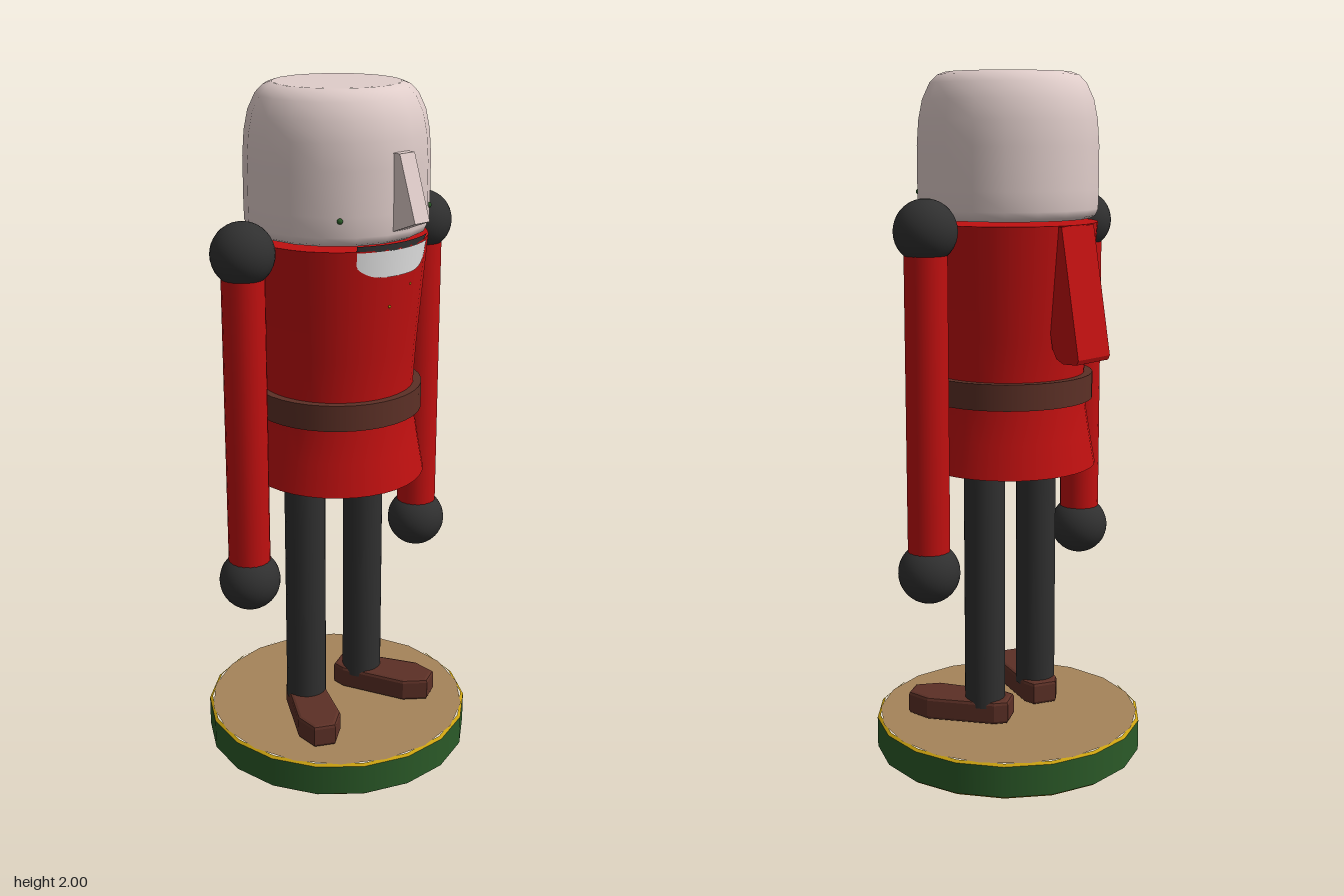
import * as THREE from 'three';

const mat = (name, color, side = THREE.FrontSide) => {
  const m = new THREE.MeshStandardMaterial({ color, side });
  m.name = name;
  return m;
};

export function createModel() {
  const skin = mat('pale skin', 0xe0cdca);
  const red = mat('red', 0xc01010);
  const black = mat('black', 0x303030, THREE.DoubleSide);
  const brown = mat('brown leather', 0x5c3026);
  const green = mat('green', 0x2b5a28);
  const gold = mat('gold', 0xc9a010);
  const wood = mat('tan wood', 0xa5845a);
  const white = mat('white', 0xdcdcdc, THREE.DoubleSide);

  const root = new THREE.Group();
  root.name = 'woodenSoldier';
  const add = (name, geometry, material, x = 0, y = 0, z = 0) => {
    const mesh = new THREE.Mesh(geometry, material);
    mesh.name = name;
    mesh.position.set(x, y, z);
    root.add(mesh);
    return mesh;
  };
  const turn = Math.PI / 18;
  const lathe = (points, sides) =>
    new THREE.LatheGeometry(points.map(p => new THREE.Vector2(...p)), sides, turn);

  // Extrudes a (z, y) side profile across the x axis
  const sideExtrude = (points, width) => {
    const shape = new THREE.Shape(points.map(p => new THREE.Vector2(...p)));
    const g = new THREE.ExtrudeGeometry(shape, { depth: width, bevelEnabled: false });
    return g.translate(0, 0, -width / 2).rotateY(-Math.PI / 2);
  };

  // Round base with gold edges and wooden faces
  add('baseSide', new THREE.CylinderGeometry(0.4, 0.4, 0.092, 18, 1, true, turn), green, 0, 0.053);
  add('baseTopTrim', lathe([[0.4, 0.099], [0.391, 0.105]], 18), gold);
  add('baseBottomTrim', lathe([[0.391, 0], [0.4, 0.007]], 18), gold);
  add('baseTop', new THREE.CircleGeometry(0.391, 18, turn).rotateX(-Math.PI / 2), wood, 0, 0.105);
  add('baseBottom', new THREE.CircleGeometry(0.391, 18, turn).rotateX(Math.PI / 2), wood);

  // Shoes, turned outwards, and legs
  const half = [[0.04, -0.08], [0.055, -0.05], [0.065, 0.17], [0.036, 0.23]];
  const inset = 0.01;
  const outline = [...half, ...half.map(([x, z]) => [-x, z]).reverse()]
    .map(([x, z]) => new THREE.Vector2(x - Math.sign(x) * inset, z < 0 ? z + inset : z - inset));
  for (const [side, x, s] of [['left', 0.105, 1], ['right', -0.125, -1]]) {
    const shoe = new THREE.ExtrudeGeometry(new THREE.Shape(outline), {
      depth: 0.05, bevelThickness: 0.01, bevelSize: inset, bevelSegments: 2
    }).rotateX(Math.PI / 2);
    add(side + 'Shoe', shoe, brown, x, 0.17, 0).rotation.y = s * 0.47;
    add(side + 'Leg', new THREE.CylinderGeometry(0.06, 0.06, 0.96, 20), black, x, 0.64, 0);
  }

  // Hollow coat: outer cloth, hem, wooden lining and shoulder disc
  add('coat', lathe([[0.255, 0.885], [0.238, 0.98], [0.222, 1.08], [0.221, 1.16],
    [0.228, 1.27], [0.242, 1.43], [0.256, 1.587]], 36), red);
  add('coatHem', lathe([[0.228, 0.885], [0.255, 0.885]], 36), red);
  add('coatLining', lathe([[0.215, 1.57], [0.2, 1.15], [0.228, 0.885]], 36), wood);
  add('coatTop', new THREE.CircleGeometry(0.256, 36).rotateX(-Math.PI / 2), red, 0, 1.587);
  add('coatCeiling', new THREE.CircleGeometry(0.215, 36).rotateX(Math.PI / 2), wood, 0, 1.57);
  add('belt', new THREE.CylinderGeometry(0.245, 0.245, 0.075, 36), brown, 0, 1.118);

  // Arms with ball shoulders and hands
  for (const [side, s] of [['left', 1], ['right', -1]]) {
    add(side + 'Arm', new THREE.CylinderGeometry(0.06, 0.06, 0.95, 20), red, s * 0.335, 1.1);
    for (const [part, y] of [['Shoulder', 1.575], ['Hand', 0.62]])
      add(side + part, new THREE.SphereGeometry(0.088, 28, 18), black, s * 0.335, y);
  }

  // Jaw lever at the back
  add('jawLever', sideExtrude([[-0.2, 1.585], [-0.255, 1.585], [-0.318, 1.225], [-0.312, 1.212],
    [-0.265, 1.21], [-0.24, 1.222], [-0.225, 1.25], [-0.2, 1.4]], 0.14), red);

  // Head: smooth rounded drum with flat ends
  add('head', lathe([[0.235, 1.598], [0.25, 1.606], [0.258, 1.625], [0.259, 1.68], [0.259, 1.8],
    [0.254, 1.87], [0.243, 1.925], [0.222, 1.97], [0.2, 1.992], [0.178, 2]], 18), skin);
  add('headTop', new THREE.CircleGeometry(0.178, 18, turn).rotateX(-Math.PI / 2), skin, 0, 2);
  add('headBottom', new THREE.CircleGeometry(0.235, 18, turn).rotateX(Math.PI / 2), skin, 0, 1.598);
  add('nose', sideExtrude([[0.23, 1.84], [0.275, 1.84], [0.336, 1.665], [0.255, 1.633],
    [0.23, 1.633]], 0.054), skin);
  for (const s of [1, -1])
    add(s > 0 ? 'leftEye' : 'rightEye', new THREE.SphereGeometry(0.008, 10, 8), green,
      s * 0.164, 1.67, 0.196);

  // Curved strip around the front of the mouth, lower edge rising to the ends
  const strip = (radius, top, bottom, rise) => {
    const span = 0.52;
    const g = new THREE.CylinderGeometry(radius, radius - 0.007, 1, 20, 1, true, -span, span * 2);
    const p = g.attributes.position;
    for (let i = 0; i < p.count; i++) {
      const t = Math.atan2(p.getX(i), p.getZ(i)) / span;
      p.setY(i, p.getY(i) > 0 ? top : bottom + rise * t ** 4);
    }
    return g;
  };
  add('teeth', strip(0.2585, 1.584, 1.51, 0.032), white);
  add('moustache', strip(0.2595, 1.602, 1.572, 0.015), black);

  // Tiny gold studs on the chest
  for (const [x, y] of [[0.055, 1.475], [-0.025, 1.425]])
    add('stud', new THREE.SphereGeometry(0.004, 8, 6), gold, x, y,
      Math.sqrt(0.244 ** 2 - x * x));

  return root;
}
